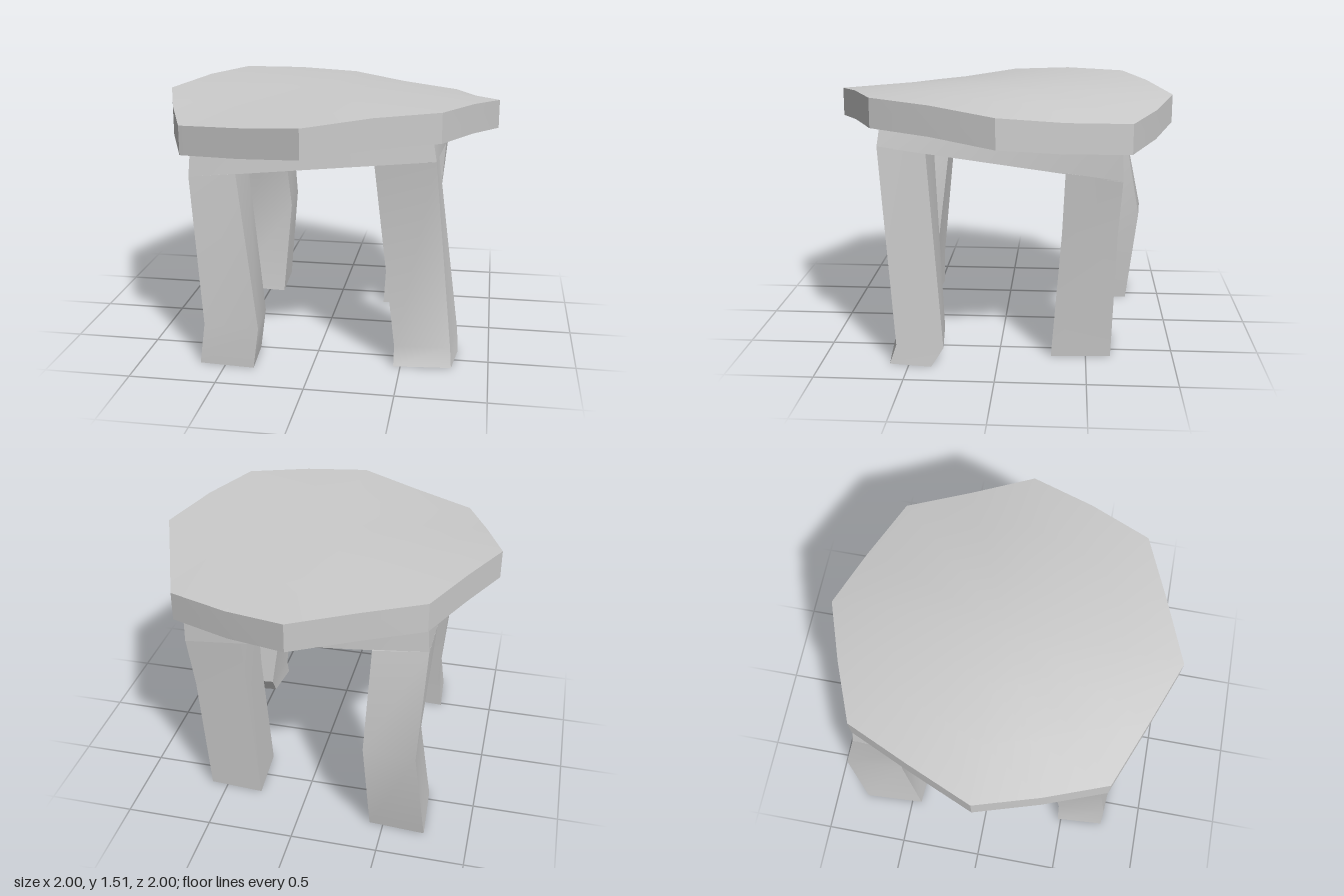
import * as THREE from 'three';
import { toCreasedNormals } from 'three/addons/utils/BufferGeometryUtils.js';

const material = new THREE.MeshStandardMaterial({ color: 0xcccccc });
const lerp = THREE.MathUtils.lerp;

function makeMesh(geometry, name) {
  geometry.deleteAttribute('uv');
  const mesh = new THREE.Mesh(toCreasedNormals(geometry, 0.6), material);
  mesh.name = name;
  return mesh;
}

// Seat rim: x, top height, z; every second point is a corner of the octagon
const RIM = [
  [-0.01, 1.46, 1], [0.35, 1.495, 0.85], [0.7, 1.505, 0.7], [0.86, 1.49, 0.35],
  [1, 1.45, -0.01], [0.86, 1.405, -0.37], [0.72, 1.38, -0.73], [0.36, 1.4, -0.88],
  [0.01, 1.44, -1], [-0.35, 1.48, -0.87], [-0.69, 1.5, -0.73], [-0.85, 1.5, -0.37],
  [-1, 1.47, 0], [-0.88, 1.425, 0.36], [-0.74, 1.39, 0.71], [-0.37, 1.42, 0.86],
];

// Warped slab: rings from the top centre out, over the rim, back to the bottom centre
function seatGeometry() {
  const thick = 0.167, n = RIM.length, pos = [], index = [];
  const rings = [[0, 0], [0.33, 0], [0.67, 0], [1, 0], [1, thick], [0.67, thick], [0.33, thick], [0, thick]];
  for (const [r, drop] of rings) {
    for (const [x, y, z] of RIM) pos.push(x * r, lerp(1.51, y, r * r) - drop, z * r);
  }
  for (let k = 0; k < rings.length - 1; k++) {
    for (let i = 0; i < n; i++) {
      const j = (i + 1) % n, a = k * n + i, b = k * n + j, c = a + n, d = b + n;
      if (rings[k + 1][0] > 0) index.push(a, c, d);
      if (rings[k][0] > 0) index.push(a, d, b);
    }
  }
  const g = new THREE.BufferGeometry();
  g.setAttribute('position', new THREE.Float32BufferAttribute(pos, 3));
  g.setIndex(index);
  return g;
}

// Block under the seat: bottom corners x, z, height, then top corners x, z, height
const BLOCK = {
  frontLeft: [0.675, 0.67, 1.23, 0.65, 0.65, 1.37],
  frontRight: [-0.705, 0.675, 1.09, -0.695, 0.655, 1.26],
  backLeft: [0.68, -0.685, 1.05, 0.68, -0.68, 1.25],
  backRight: [-0.705, -0.74, 1.21, -0.69, -0.72, 1.37],
};

// Value c of the block's corners, blended across its width (u) and depth (v)
const blend = (c, u, v) => lerp(
  lerp(BLOCK.backRight[c], BLOCK.backLeft[c], u),
  lerp(BLOCK.frontRight[c], BLOCK.frontLeft[c], u), v);

// Height of the block's twisted underside
const underside = (x, z) => blend(2, (x + 0.705) / 1.385, (z + 0.71) / 1.38);

function blockGeometry() {
  const g = new THREE.BoxGeometry(1, 1, 1, 6, 1, 6);
  const p = g.attributes.position;
  for (let i = 0; i < p.count; i++) {
    const u = p.getX(i) + 0.5, v = p.getZ(i) + 0.5, k = p.getY(i) > 0 ? 3 : 0;
    p.setXYZ(i, blend(k, u, v), blend(k + 2, u, v), blend(k + 1, u, v));
  }
  return g;
}

// Four-sided leg through sections [y, x0, x1, z0, z1, skew]; its top meets the block
function legGeometry(sections) {
  const n = sections.length - 1;
  const g = new THREE.BoxGeometry(2, 1, 2, 1, n, 1);
  const p = g.attributes.position;
  for (let i = 0; i < p.count; i++) {
    const k = Math.round((p.getY(i) + 0.5) * n);
    const [y, x0, x1, z0, z1, skew] = sections[k];
    const x = (p.getX(i) > 0 ? x1 : x0) - skew * p.getZ(i);
    const z = (p.getZ(i) > 0 ? z1 : z0) - skew * p.getX(i);
    p.setXYZ(i, x, k === n ? underside(x, z) + y : y, z);
  }
  return g;
}

// Crooked legs, each with its own knee; the last height is the overlap into the block
const LEGS = {
  frontLeftLeg: [
    [0, 0.475, 0.805, 0.385, 0.625, 0.015],
    [0.11, 0.475, 0.795, 0.315, 0.587, 0.015],
    [0.003, 0.34, 0.675, 0.4, 0.67, 0]],
  frontRightLeg: [
    [0, -0.66, -0.34, 0.49, 0.775, -0.01],
    [0.24, -0.63, -0.31, 0.48, 0.77, -0.01],
    [0.003, -0.705, -0.435, 0.39, 0.675, 0]],
  backLeftLeg: [
    [0, 0.29, 0.61, -0.652, -0.31, -0.01],
    [0.75, 0.335, 0.65, -0.67, -0.36, -0.005],
    [0.003, 0.35, 0.68, -0.685, -0.37, 0]],
  backRightLeg: [
    [0, -0.735, -0.41, -0.79, -0.43, -0.01],
    [0.59, -0.67, -0.37, -0.86, -0.52, -0.012],
    [0.003, -0.705, -0.4, -0.74, -0.42, 0]],
};

export function createModel() {
  const stool = new THREE.Group();
  stool.name = 'stool';
  stool.add(makeMesh(seatGeometry(), 'seat'));
  stool.add(makeMesh(blockGeometry(), 'apron'));
  for (const [name, sections] of Object.entries(LEGS)) {
    stool.add(makeMesh(legGeometry(sections), name));
  }
  return stool;
}
